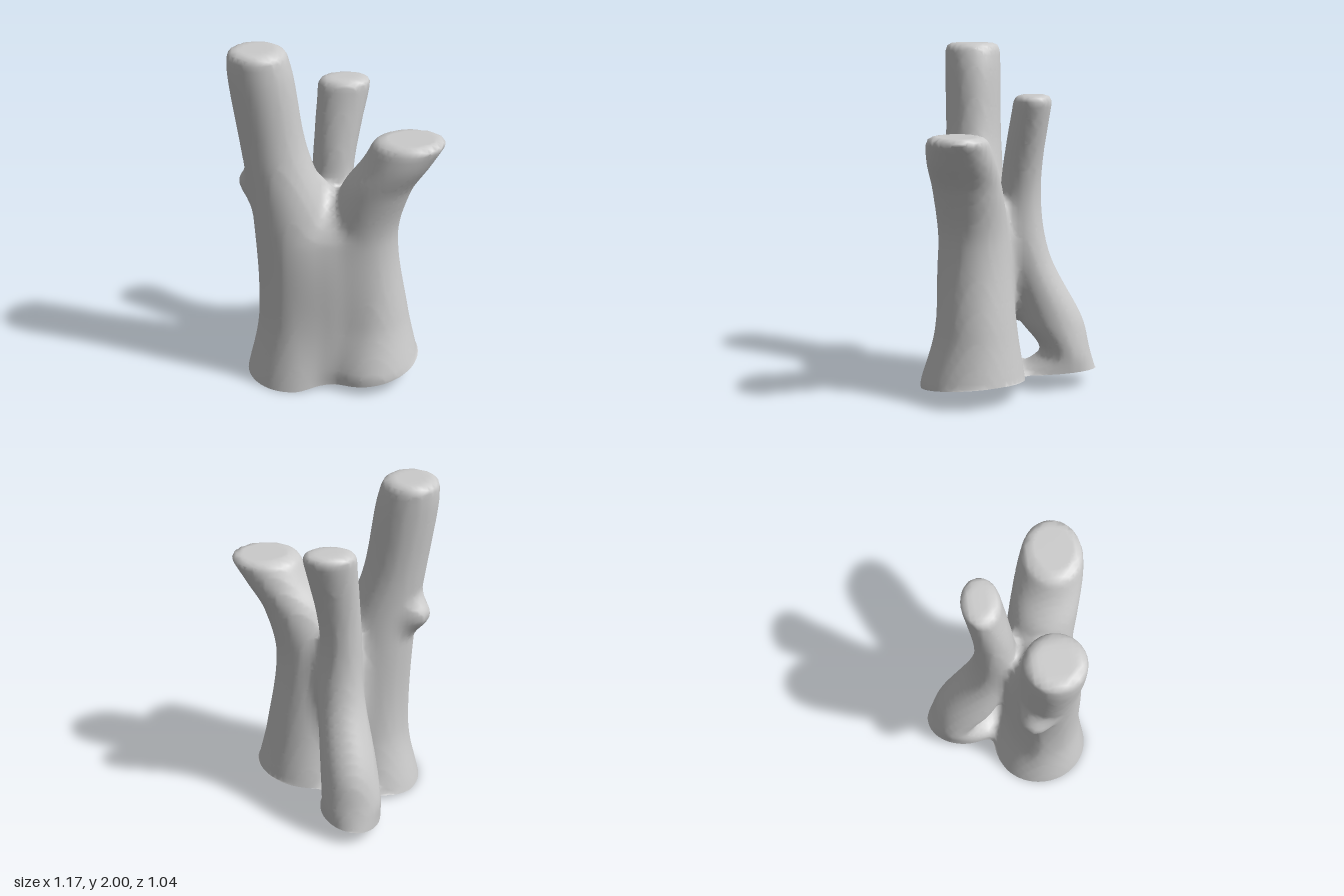
import * as THREE from 'three';

// Each stem is a few elliptical rings [y, centreX, centreZ, radiusX, radiusZ], cut flat at the last one
const leftStem = [
  [0, -.27, .18, .27, .29], [.4, -.235, .2, .225, .22], [1, -.26, .2, .22, .195], [1.45, -.36, .19, .18, .165],
  [1.85, -.42, .19, .175, .165], [2, -.44, .19, .155, .16]];
const rightStem = [
  [.1, .18, .22, .29, .3], [.4, .17, .2, .235, .235], [.9, .13, .21, .205, .2], [1.2, .205, .245, .195, .195],
  [1.38, .315, .285, .19, .188], [1.52, .39, .31, .2, .165]];
const rearStem = [
  [.08, -.06, -.275, .18, .245], [.2, -.06, -.335, .175, .15], [.4, -.05, -.25, .165, .185],
  [.8, -.02, -.1, .135, .135], [1.2, -.02, -.07, .12, .115], [1.72, .05, -.135, .15, .108]];
const core = [[0, -.06, .2, .17, .2], [.9, -.06, .2, .2, .18], [1.2, -.1, .15, .01, .01]];
const knot = [[1.02, -.4, .15, .01, .01], [1.19, -.485, .095, .07, .07], [1.36, -.4, .18, .01, .01]];
const stems = [leftStem, rightStem, rearStem, core, knot];

// Ring at height y, eased smoothly between its neighbours
function ringAt(rings, y) {
  const last = rings.length - 1;
  let i = 0;
  while (i < last - 1 && y > rings[i + 1][0]) i++;
  const a = rings[i], b = rings[i + 1], span = b[0] - a[0];
  const t = THREE.MathUtils.clamp((y - a[0]) / span, 0, 1);
  const slope = (m, k) => {
    const p = rings[Math.max(m - 1, 0)], q = rings[Math.min(m + 1, last)];
    return (q[k] - p[k]) / (q[0] - p[0]) * span;
  };
  return a.map((v, k) => v + (b[k] - v) * t * t * (3 - 2 * t)
    + slope(i, k) * t * (1 - t) * (1 - t) - slope(i + 1, k) * t * t * (1 - t));
}

// Smaller of two values, rounded over the width k
function softMin(a, b, k) {
  const h = Math.max(k - Math.abs(a - b), 0) / k;
  return Math.min(a, b) - h * h * k / 4;
}

// Signed field of all stems: tops cut with a soft rim, sides blended where they meet
function field(x, y, z) {
  let d = 9;
  for (const rings of stems) {
    const [, cx, cz, rx, rz] = ringAt(rings, y);
    const side = (Math.hypot((x - cx) / rx, (z - cz) / rz) - 1) * Math.min(rx, rz);
    const cut = -softMin(-side, rings.at(-1)[0] - y, 0.05);
    d = softMin(d, cut, 0.1);
  }
  return d;
}

// Slanted, open lower edge
const base = (x, z) => Math.max(0, 0.06 + 0.15 * x - 0.06 * (z - 0.1));

// Move a point onto the skin
function settle(p) {
  const e = 0.004;
  for (let n = 0; n < 3; n++) {
    const { x, y, z } = p;
    const g = new THREE.Vector3(
      field(x + e, y, z) - field(x - e, y, z),
      field(x, y + e, z) - field(x, y - e, z),
      field(x, y, z + e) - field(x, y, z - e)).divideScalar(2 * e);
    p.addScaledVector(g, -field(x, y, z) / Math.max(g.lengthSq(), 0.3));
  }
}

// Wrap one skin around the stems: a vertex per crossed cell, a quad per crossed edge
function skinGeometry(h) {
  const o = [-0.7, -0.1, -0.66], n = [1.4, 2.2, 1.32].map(s => Math.ceil(s / h) + 1);
  const id = (i, j, k) => (i * n[1] + j) * n[2] + k;
  const at = (i, j, k) => [o[0] + i * h, o[1] + j * h, o[2] + k * h];
  const val = new Float32Array(n[0] * n[1] * n[2]);
  const each = (m, fn) => {
    for (let i = 0; i < n[0] - m; i++) for (let j = 0; j < n[1] - m; j++) for (let k = 0; k < n[2] - m; k++) fn(i, j, k);
  };
  each(0, (i, j, k) => { val[id(i, j, k)] = field(...at(i, j, k)); });

  const pos = [], cut = [], cell = new Map();
  each(1, (i, j, k) => {
    const sum = new THREE.Vector3();
    let count = 0;
    for (let c = 0; c < 8; c++) for (let b = 0; b < 3; b++) {
      if (c >> b & 1) continue;
      const e = c | 1 << b;
      const p = [i + (c & 1), j + (c >> 1 & 1), k + (c >> 2)];
      const q = [i + (e & 1), j + (e >> 1 & 1), k + (e >> 2)];
      const u = val[id(...p)], v = val[id(...q)];
      if ((u < 0) === (v < 0)) continue;
      p[b] += u / (u - v);
      sum.add(new THREE.Vector3(...at(...p)));
      count++;
    }
    if (!count) return;
    const p = sum.divideScalar(count);
    settle(p);
    const low = base(p.x, p.z);
    cell.set(id(i, j, k), cut.length);
    cut.push(p.y <= low);
    pos.push(p.x, Math.max(p.y, low), p.z);
  });

  // Faces, leaving out those wholly below the lower edge
  const index = [];
  const tri = (a, b, c) => { if (!(cut[a] && cut[b] && cut[c])) index.push(a, b, c); };
  each(1, (i, j, k) => {
    for (let b = 0; b < 3; b++) {
      const p = [i, j, k], q = [i, j, k], s = (b + 1) % 3, t = (b + 2) % 3;
      q[b]++;
      const inside = val[id(...p)] < 0;
      if (inside === val[id(...q)] < 0 || !p[s] || !p[t]) continue;
      const corner = (ds, dt) => { const r = [...p]; r[s] -= ds; r[t] -= dt; return cell.get(id(...r)); };
      const quad = [corner(1, 1), corner(0, 1), corner(0, 0), corner(1, 0)];
      if (!inside) quad.reverse();
      tri(quad[0], quad[1], quad[2]);
      tri(quad[0], quad[2], quad[3]);
    }
  });
  const geo = new THREE.BufferGeometry();
  geo.setAttribute('position', new THREE.Float32BufferAttribute(pos, 3));
  geo.setIndex(index);
  geo.computeVertexNormals();
  return geo;
}

export function createModel() {
  const group = new THREE.Group();
  group.name = 'treeStump';
  // Hollow trunk with three cut branches
  const trunk = new THREE.Mesh(skinGeometry(0.03),
    new THREE.MeshStandardMaterial({ color: 0xcccccc, side: THREE.DoubleSide }));
  trunk.name = 'trunkAndBranches';
  group.add(trunk);
  return group;
}
